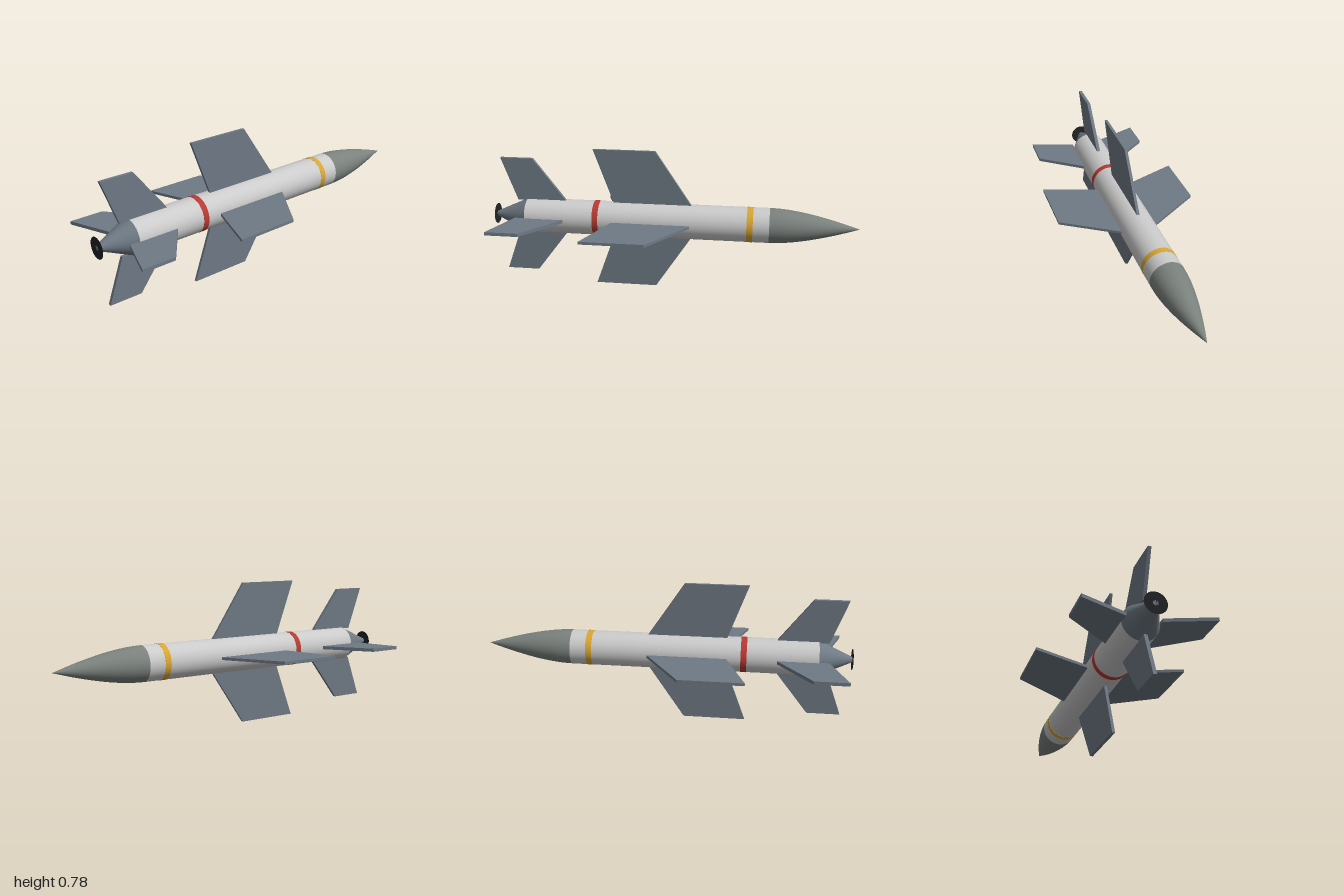
import * as THREE from 'three';

const AXIS_Y = 0.39;
const R = 0.095;

const mat = (color, extra = {}) => new THREE.MeshStandardMaterial({ color, ...extra });

export function createModel() {
  const model = new THREE.Group();
  model.name = 'missile';
  const white = mat(0xd6dad6), finGrey = mat(0x6f7a85), noseGrey = mat(0x7b827e);
  const red = mat(0xb83a32), yellow = mat(0xd9a632);
  const black = mat(0x202324, { side: THREE.DoubleSide });

  function add(name, geometry, material) {
    const mesh = new THREE.Mesh(geometry, material);
    mesh.name = name;
    mesh.position.y = AXIS_Y;
    model.add(mesh);
    return mesh;
  }

  // Tapered round section along x, from x0 (radius r0) to x1 (radius r1)
  function section(name, x0, x1, r0, r1, material) {
    const g = new THREE.CylinderGeometry(r1, r0, x1 - x0, 48);
    g.rotateZ(-Math.PI / 2).translate((x0 + x1) / 2, 0, 0);
    return add(name, g, material);
  }

  section('body', -0.82, 0.52, R, R, white);
  section('tailCone', -1, -0.82, 0.014, R, finGrey);
  section('rearBand', -0.44, -0.408, 0.0962, 0.0962, red);
  section('frontBand', 0.4, 0.433, 0.0962, 0.0962, yellow);

  // Pointed nose, turned from a smooth profile
  const profile = new THREE.SplineCurve([
    [R, 0.52], [0.091, 0.6], [0.077, 0.7], [0.056, 0.8], [0.03, 0.9], [0, 1],
  ].map(([r, x]) => new THREE.Vector2(r, x)));
  const nose = new THREE.LatheGeometry(profile.getPoints(20), 48);
  add('nose', nose.rotateZ(-Math.PI / 2), noseGrey);

  // Thin exhaust disc at the very back
  const disc = new THREE.CircleGeometry(0.057, 32).rotateY(-Math.PI / 2);
  add('exhaustDisc', disc.translate(-1, 0, 0), black);

  // Four swept fins around the axis
  function finSet(name, outline, thickness) {
    const shape = new THREE.Shape(outline.map(([x, y]) => new THREE.Vector2(x, y)));
    const g = new THREE.ExtrudeGeometry(shape, { depth: thickness, bevelEnabled: false });
    g.translate(0, 0, -thickness / 2);
    for (let i = 0; i < 4; i++) {
      add(name + (i + 1), g, finGrey).rotation.x = i * Math.PI / 2;
    }
  }
  finSet('wing', [[-0.33, 0.088], [0.1, 0.088], [-0.1, 0.39], [-0.44, 0.39]], 0.015);
  finSet('tailFin', [[-0.873, 0.088], [-0.597, 0.088], [-0.78, 0.327], [-0.96, 0.327]], 0.018);

  return model;
}
